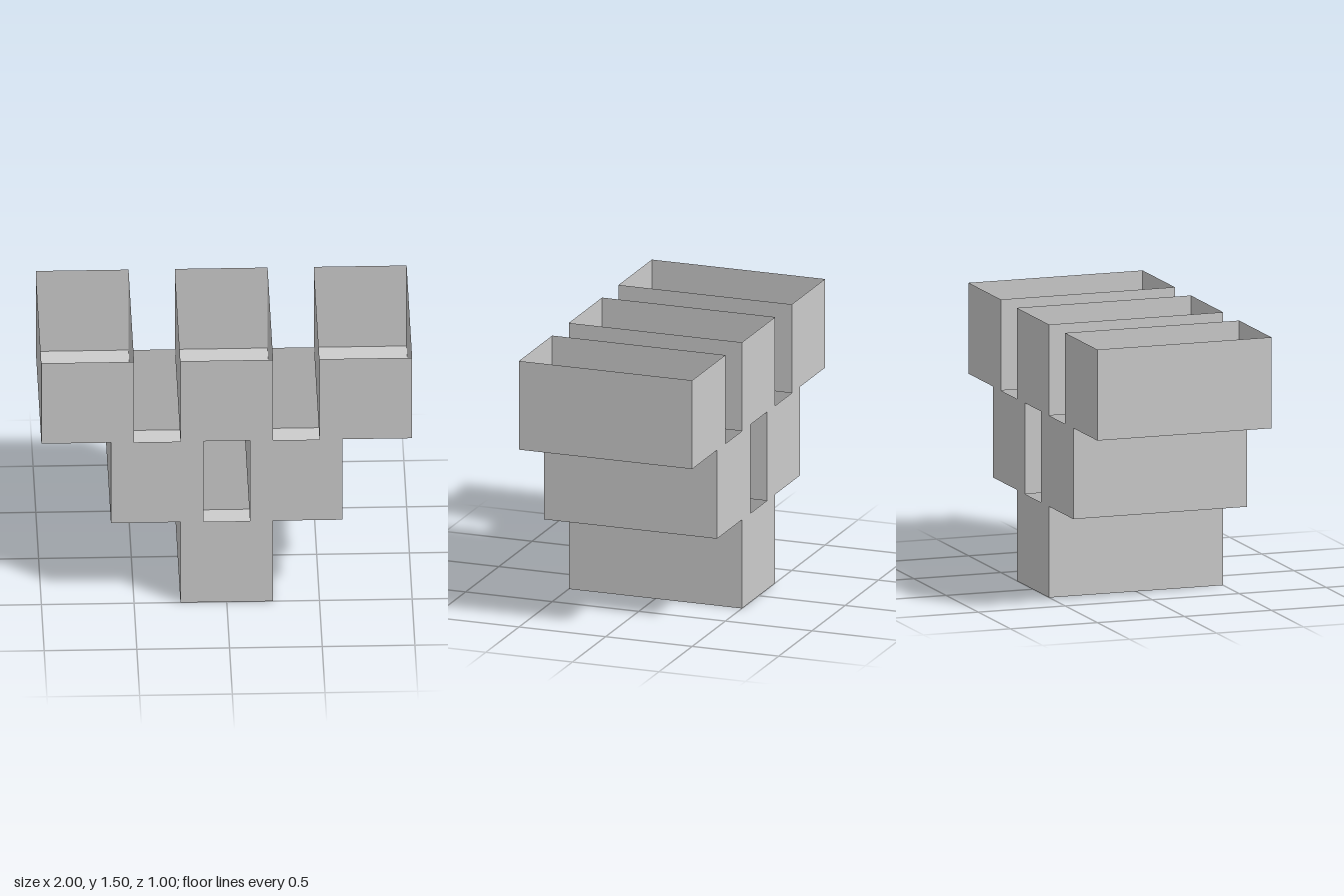
import * as THREE from 'three';

const SIZE = 0.5;
const DEPTH = 1;

// Thin-walled trough: four walls and a floor, open at the top.
function openTrough() {
  const geometry = new THREE.BoxGeometry(SIZE, SIZE, DEPTH);
  const faces = Array.from(geometry.index.array);
  faces.splice(12, 6); // drop the upward face
  geometry.setIndex(faces);
  geometry.clearGroups();
  return geometry;
}

export function createModel() {
  const model = new THREE.Group();
  model.name = 'stackedTroughs';
  const material = new THREE.MeshStandardMaterial({
    color: 0xcccccc, flatShading: true, side: THREE.DoubleSide,
  });
  const geometry = openTrough();

  // Each tier lists the x centres of its troughs, from the ground up.
  const tiers = [
    { name: 'bottomTrough', centres: [0] },
    { name: 'middleTrough', centres: [-0.375, 0.375] },
    { name: 'topTrough', centres: [-0.75, 0, 0.75] },
  ];
  tiers.forEach(({ name, centres }, level) => {
    for (const x of centres) {
      const trough = new THREE.Mesh(geometry, material);
      trough.name = name;
      trough.position.set(x, SIZE * (level + 0.5), 0);
      model.add(trough);
    }
  });
  return model;
}
